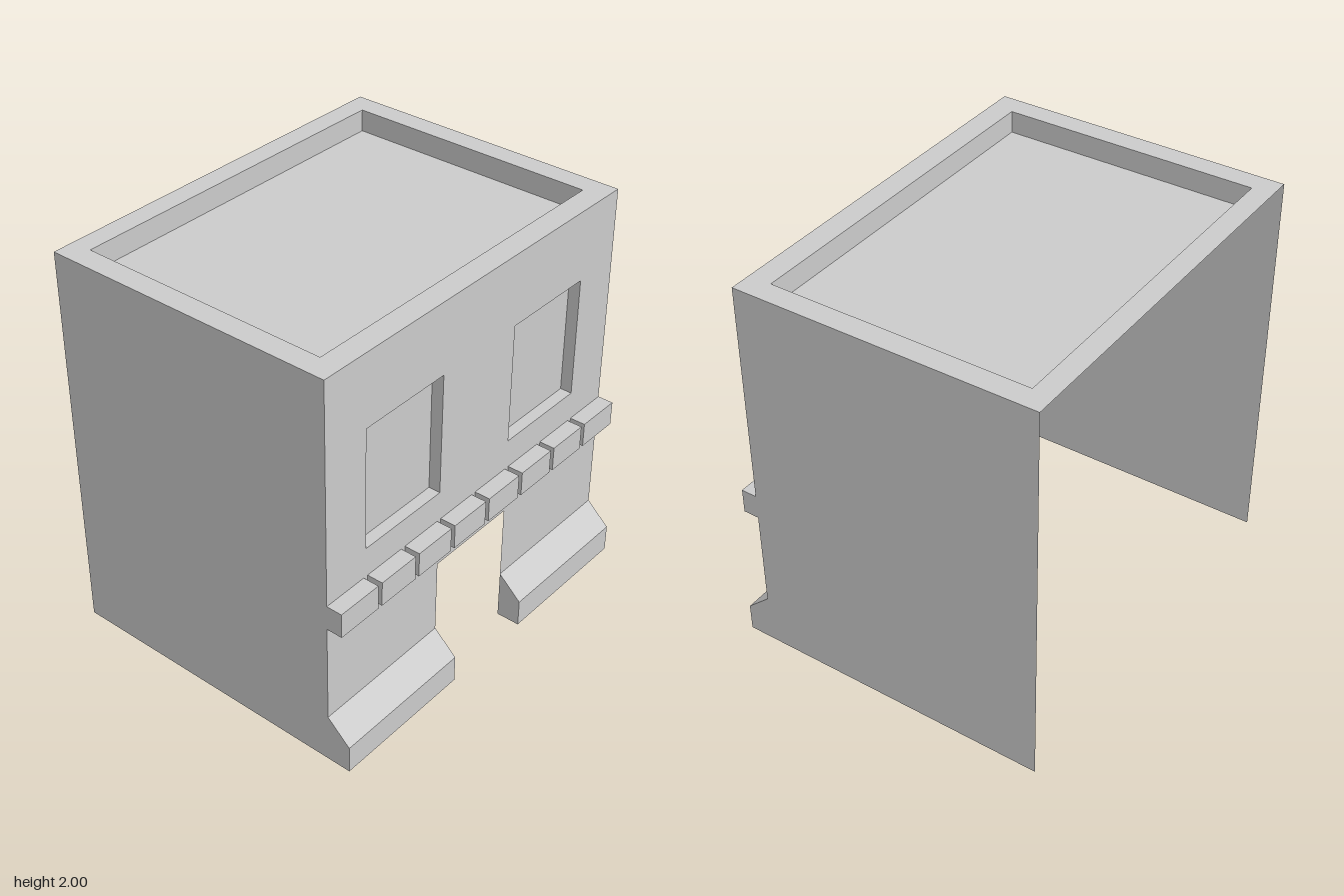
import * as THREE from 'three';

const FRONT = 0.69, BACK = -0.81, TOE = 0.81;
const mat = new THREE.MeshStandardMaterial({ color: 0xcccccc, side: THREE.DoubleSide, flatShading: true });

const polygon = (pts) => new THREE.Shape(pts.map(([x, y]) => new THREE.Vector2(x, y)));
const rect = (x0, x1, y0, y1) => [[x0, y0], [x1, y0], [x1, y1], [x0, y1]];

// Box without its rear (-z) face
function tray(w, h, d) {
  const geo = new THREE.BoxGeometry(w, h, d);
  geo.setIndex(Array.from(geo.index.array).slice(0, 30));
  geo.clearGroups();
  return geo;
}

export function createModel() {
  const model = new THREE.Group();
  const add = (name, geo, x = 0, y = 0, z = 0) => {
    const mesh = new THREE.Mesh(geo, mat);
    mesh.name = name;
    mesh.position.set(x, y, z);
    model.add(mesh);
    return mesh;
  };

  // Front wall outline with doorway; openings are cut below
  const wall = polygon([
    [-1, 0.25], [-0.25, 0.25], [-0.25, 0.63], [0.25, 0.63],
    [0.25, 0.25], [1, 0.25], [1, 2], [-1, 2],
  ]);
  const cut = (...r) => wall.holes.push(polygon(rect(...r)));

  // Recessed windows
  const winDepth = 0.06;
  for (const s of [-1, 1]) {
    cut(s * 0.5 - 0.25, s * 0.5 + 0.25, 1.03, 1.64);
    add('window', tray(0.5, 0.61, winDepth).rotateY(Math.PI), s * 0.5, 1.335, FRONT - winDepth / 2);
  }

  // Ledge of eight hollow blocks separated by narrow gaps
  const gap = 0.0125, y0 = 0.755, y1 = 0.88, out = 0.08;
  for (let i = 0; i < 8; i++) {
    const a = -1 + i * 0.25 + (i > 0 ? gap : 0);
    const b = -0.75 + i * 0.25 - (i < 7 ? gap : 0);
    // keep the end openings just inside the wall outline
    cut(i > 0 ? a : a + 0.001, i < 7 ? b : b - 0.001, y0, y1);
    add('ledgeBlock', tray(b - a, y1 - y0, out), (a + b) / 2, (y0 + y1) / 2, FRONT + out / 2);
  }
  add('frontWall', new THREE.ShapeGeometry(wall), 0, 0, FRONT);

  // Side walls, including the sloped foot profile
  const side = polygon([[BACK, 0], [TOE, 0], [TOE, 0.14], [FRONT, 0.25], [FRONT, 2], [BACK, 2]]);
  const foot = polygon([[FRONT, 0], [TOE, 0], [TOE, 0.14], [FRONT, 0.25]]);
  for (const s of [-1, 1]) {
    const turn = -s * Math.PI / 2;
    // mirror the profile so that each face points outward
    const place = (shape, dir) => {
      const geo = new THREE.ShapeGeometry(shape).rotateY(turn * s);
      if (dir > 0) {
        geo.setIndex(Array.from(geo.index.array).reverse());
        geo.computeVertexNormals();
      }
      return geo;
    };
    add('sideWall', place(side, s), s);
    add('footCap', place(foot, -s), s * 0.25);

    // Foot front: upright toe and sloped top
    const geo = new THREE.PlaneGeometry(0.75, 1, 1, 2);
    const p = geo.attributes.position;
    const profile = [[0.25, FRONT], [0.14, TOE], [0, TOE]];
    for (let i = 0; i < p.count; i++) {
      const [y, z] = profile[Math.floor(i / 2)];
      p.setY(i, y);
      p.setZ(i, z);
    }
    const flat = geo.toNonIndexed();
    flat.computeVertexNormals();
    add('foot', flat, s * 0.625);
  }

  // Roof rim around a sunken roof floor
  const rim = polygon(rect(-1, 1, -FRONT, -BACK));
  rim.holes.push(polygon(rect(-0.89, 0.89, -0.575, 0.705)));
  add('roofRim', new THREE.ShapeGeometry(rim).rotateX(-Math.PI / 2), 0, 2);
  const sink = 0.11;
  add('roofRecess', tray(1.78, 1.28, sink).rotateX(Math.PI / 2), 0, 2 - sink / 2, -0.065);

  return model;
}
